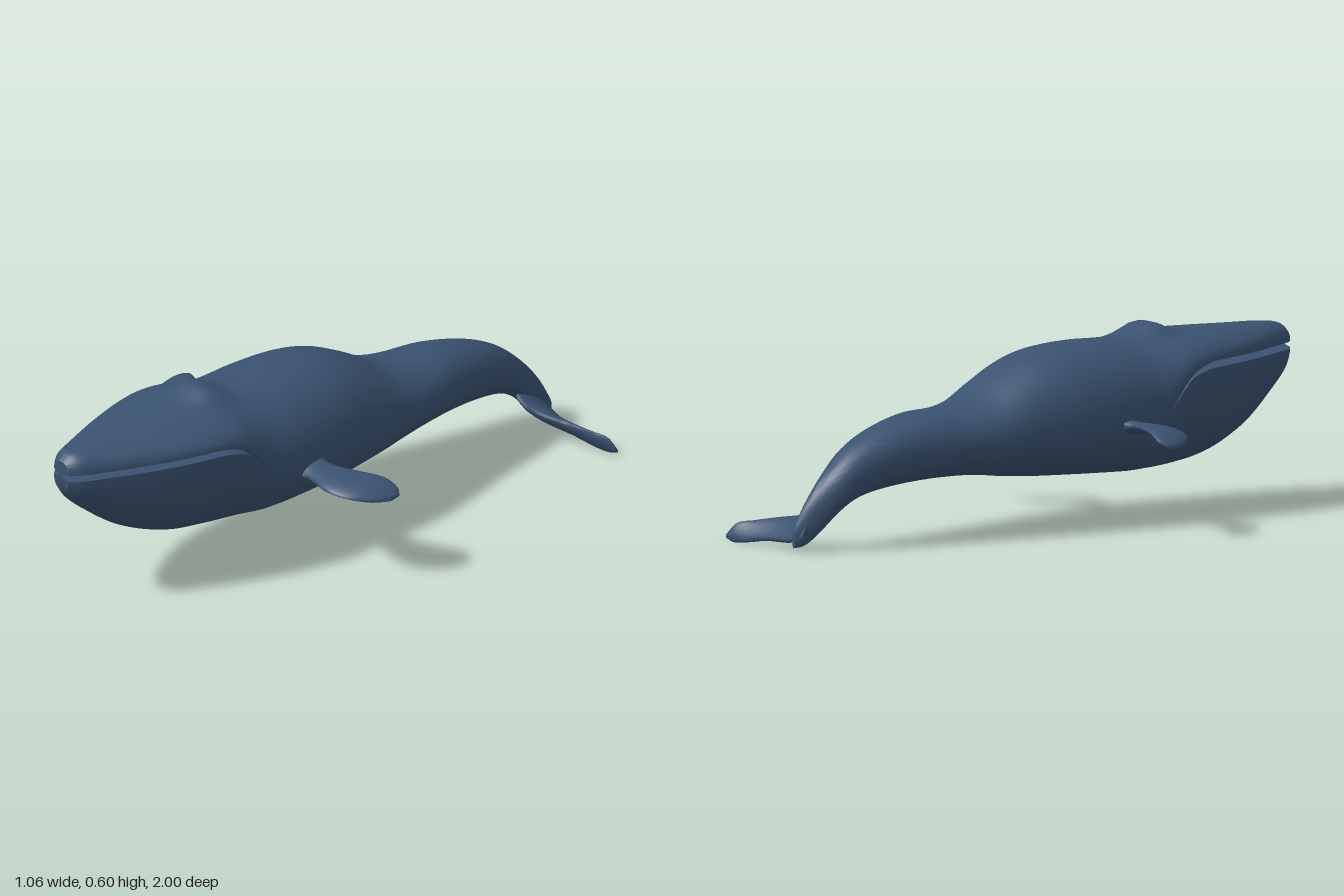
import * as THREE from 'three';
import { toCreasedNormals } from 'three/addons/utils/BufferGeometryUtils.js';

// Body stations from tail to snout: z, top y, bottom y, half width, widest y (mouth line at the head), centre x
const BODY = [
  [-1.0, 0.075, 0.015, 0.008, 0.045, 0.035],
  [-0.97, 0.14, 0.022, 0.022, 0.08, 0.022],
  [-0.93, 0.2, 0.055, 0.038, 0.13, 0.01],
  [-0.87, 0.265, 0.115, 0.06, 0.19, 0],
  [-0.8, 0.32, 0.155, 0.078, 0.235, 0],
  [-0.7, 0.367, 0.178, 0.1, 0.27, 0],
  [-0.55, 0.405, 0.192, 0.13, 0.29, 0],
  [-0.4, 0.412, 0.194, 0.162, 0.295, 0],
  [-0.3, 0.435, 0.188, 0.185, 0.3, 0],
  [-0.2, 0.49, 0.175, 0.205, 0.305, 0],
  [-0.1, 0.538, 0.166, 0.223, 0.31, 0],
  [0.0, 0.562, 0.16, 0.24, 0.315, 0],
  [0.15, 0.57, 0.152, 0.25, 0.32, 0],
  [0.3, 0.565, 0.145, 0.246, 0.335, 0],
  [0.36, 0.567, 0.145, 0.24, 0.39, 0],
  [0.42, 0.57, 0.146, 0.235, 0.45, 0],
  [0.5, 0.572, 0.152, 0.225, 0.478, 0],
  [0.6, 0.57, 0.167, 0.206, 0.483, 0],
  [0.7, 0.567, 0.2, 0.176, 0.483, 0],
  [0.8, 0.564, 0.25, 0.138, 0.483, 0],
  [0.9, 0.561, 0.325, 0.094, 0.483, 0],
  [0.97, 0.552, 0.387, 0.062, 0.483, 0],
  [1.0, 0.53, 0.43, 0.035, 0.483, 0],
];

// Fin stations along x: x, leading z, trailing z, leading y, trailing y, thickness
const FLIPPER = [
  [0.2, 0.24, 0.1, 0.3, 0.33, 0.06],
  [0.25, 0.215, 0.122, 0.305, 0.33, 0.042],
  [0.3, 0.22, 0.125, 0.31, 0.332, 0.035],
  [0.38, 0.235, 0.095, 0.312, 0.332, 0.034],
  [0.46, 0.207, 0.055, 0.305, 0.328, 0.03],
  [0.51, 0.15, 0.045, 0.294, 0.308, 0.022],
  [0.53, 0.105, 0.058, 0.29, 0.296, 0.01],
];
const FLUKE = [
  [0.0, -0.87, -0.99, 0.17, 0.05, 0.04],
  [0.06, -0.852, -0.992, 0.13, 0.032, 0.045],
  [0.12, -0.875, -0.983, 0.1, 0.026, 0.04],
  [0.2, -0.912, -0.977, 0.087, 0.02, 0.032],
  [0.28, -0.95, -0.985, 0.073, 0.006, 0.026],
  [0.33, -0.977, -0.995, 0.062, 0.003, 0.02],
  [0.36, -0.992, -0.998, 0.028, 0.014, 0.006],
];

// Smooth interpolation of a station table at its first column
function sample(table, t) {
  let i = 0;
  while (i < table.length - 2 && t > table[i + 1][0]) i++;
  const at = (k) => table[Math.min(Math.max(k, 0), table.length - 1)];
  const [p, a, b, q] = [at(i - 1), at(i), at(i + 1), at(i + 2)];
  const h = b[0] - a[0], u = (t - a[0]) / h, v = 1 - u;
  return a.map((_, c) => {
    if (c === 0) return t;
    const ma = h * (b[c] - p[c]) / (b[0] - p[0]);
    const mb = h * (q[c] - a[c]) / (q[0] - a[0]);
    return a[c] * (1 + 2 * u) * v * v + ma * u * v * v + b[c] * u * u * (3 - 2 * u) - mb * u * u * v;
  });
}

// Skin over a list of equal rings, closed by a fan at both ends
function loft(rings, crease) {
  const n = rings[0].length;
  const pos = rings.flat(2), index = [];
  for (let i = 0; i < rings.length - 1; i++) {
    for (let j = 0; j < n; j++) {
      const a = i * n + j, b = i * n + (j + 1) % n;
      index.push(a, b, b + n, a, b + n, a + n);
    }
  }
  [rings[0], rings[rings.length - 1]].forEach((ring, end) => {
    const c = pos.length / 3, base = end * (rings.length - 1) * n;
    for (let k = 0; k < 3; k++) pos.push(ring.reduce((s, p) => s + p[k], 0) / n);
    for (let j = 0; j < n; j++) {
      const a = base + j, b = base + (j + 1) % n;
      index.push(c, end ? a : b, end ? b : a);
    }
  });
  const g = new THREE.BufferGeometry();
  g.setAttribute('position', new THREE.Float32BufferAttribute(pos, 3));
  g.setIndex(index);
  return toCreasedNormals(g, crease);
}

// Body section: two half ovals meeting at the mouth line, with a slit cut in for the mouth
function bodyRing(z) {
  const [, top, bottom, half, mid, cx] = sample(BODY, z);
  const slit = THREE.MathUtils.smoothstep(z, 0.27, 0.72);
  const gap = 0.011 * THREE.MathUtils.smoothstep(z, 0.3, 0.55);
  const throat = THREE.MathUtils.smoothstep(z, 0.35, 0.6) * (1 - THREE.MathUtils.smoothstep(z, 0.8, 0.97));
  const ring = [], steps = 28, power = 0.92;
  for (const upper of [true, false]) {
    for (let j = 0; j <= steps; j++) {
      const t = Math.PI * (j / steps + (upper ? 0 : 1));
      const c = Math.cos(t), s = Math.abs(Math.sin(t));
      let x = half * Math.sign(c) * Math.abs(c) ** power;
      const lift = s ** power;
      let y = upper ? mid + gap + (top - mid - gap) * lift : mid - gap - (mid - gap - bottom) * lift;
      // blowhole hump
      if (upper) y += 0.036 * lift * Math.exp(-(((z - 0.425) / 0.062) ** 2) - (x / 0.09) ** 4);
      // throat folds
      else x *= 1 + 0.022 * throat * s * Math.sin(14 * s + 9 * z);
      ring.push([cx + x, y, z]);
    }
    const side = upper ? -1 : 1;
    ring.push([cx + side * half * (1 - slit), mid, z]);
  }
  return ring;
}

// Fin with an oval section, running along +x or mirrored to -x
function finGeometry(table, side) {
  const rings = [], count = 20, x0 = table[0][0], x1 = table[table.length - 1][0];
  for (let i = 0; i <= count; i++) {
    const u = i / count;
    const [x, zl, zt, yl, yt, thick] = sample(table, x0 + (x1 - x0) * (1 - (1 - u) ** 1.4));
    const dz = (zl - zt) / 2, dy = (yl - yt) / 2, len = Math.hypot(dz, dy);
    const ring = [];
    for (let j = 0; j < 20; j++) {
      const t = j / 20 * Math.PI * 2;
      const along = Math.sin(t), across = Math.cos(t) * thick / 2 / len;
      ring.push([side * x, (yl + yt) / 2 + dy * along + dz * across, (zl + zt) / 2 + dz * along - dy * across]);
    }
    rings.push(ring);
  }
  if (side < 0) rings.reverse();
  return loft(rings, 1.2);
}

export function createModel() {
  const group = new THREE.Group();
  group.name = 'whale';
  const skin = new THREE.MeshStandardMaterial({ color: 0x3a5270 });
  skin.name = 'slate blue skin';
  const add = (name, geometry) => {
    const mesh = new THREE.Mesh(geometry, skin);
    mesh.name = name;
    group.add(mesh);
  };

  // body with jaws and tail stock
  const rings = [];
  for (let i = 0; i <= 110; i++) rings.push(bodyRing(-Math.cos(Math.PI * i / 110) * 0.5 + (i / 110 - 0.5)));
  add('body', loft(rings, 0.7));

  // side flippers
  add('leftFlipper', finGeometry(FLIPPER, 1));
  add('rightFlipper', finGeometry(FLIPPER, -1));

  // single tail fluke on the left side
  add('tailFluke', finGeometry(FLUKE, 1));
  return group;
}
